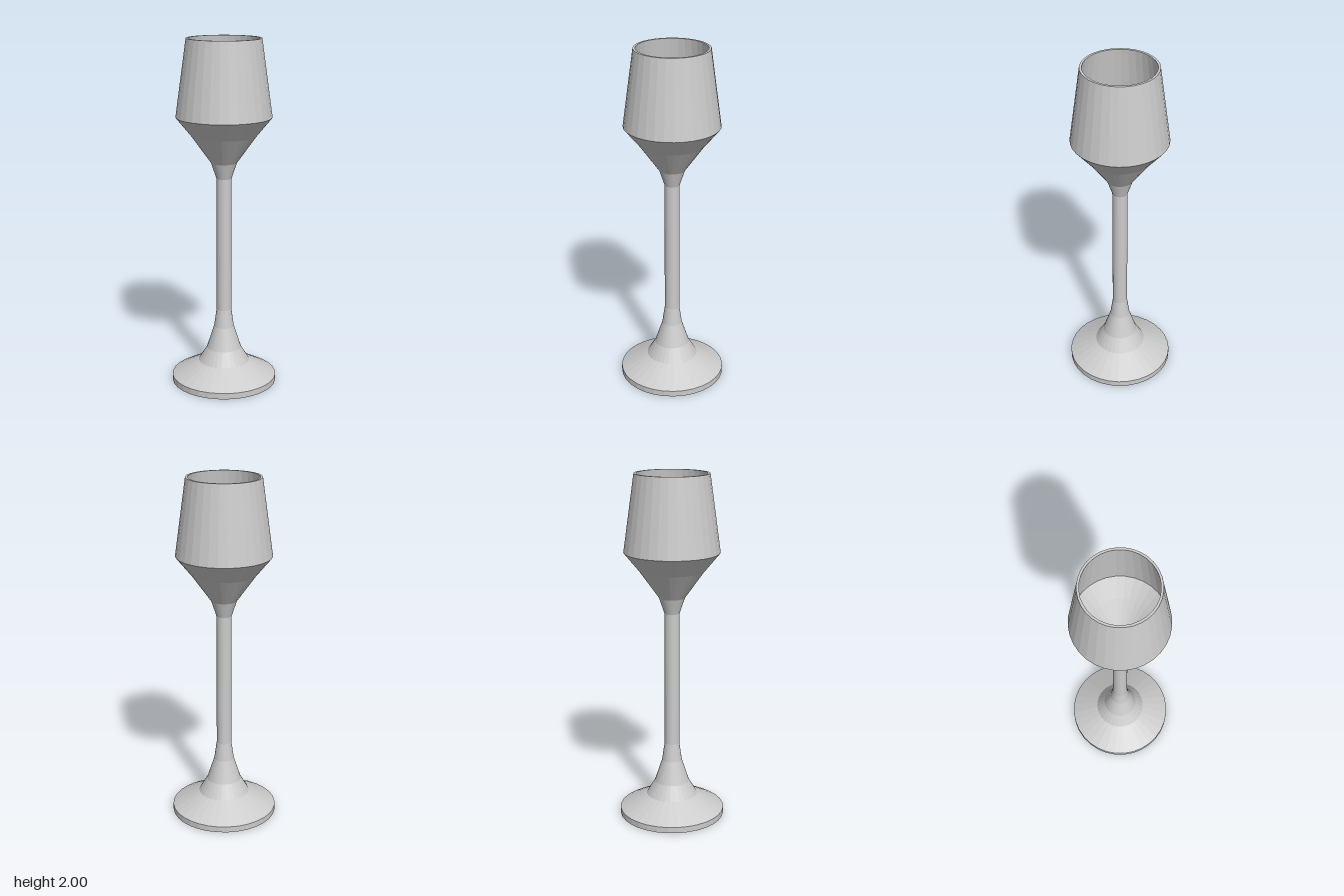
import * as THREE from 'three';

const SEGMENTS = 32;

export function createModel() {
  const group = new THREE.Group();
  group.name = 'goblet';
  const material = new THREE.MeshStandardMaterial({ color: 0xcccccc, flatShading: true });

  // Turned part from [radius, height] pairs, outer side going up
  const turned = (name, profile) => {
    const points = profile.map(([r, y]) => new THREE.Vector2(r, y));
    const mesh = new THREE.Mesh(new THREE.LatheGeometry(points, SEGMENTS), material);
    mesh.name = name;
    group.add(mesh);
  };

  // Disc foot with a flared collar
  turned('foot', [
    [0, 0], [0.305, 0], [0.305, 0.035], [0.148, 0.12],
    [0.1, 0.2], [0.058, 0.33], [0.043, 0.435],
  ]);

  // Slim straight stem
  turned('stem', [[0.043, 0.435], [0.043, 1.215]]);

  // Hollow bowl: outer wall, rim, inner wall and flat inner floor
  turned('bowl', [
    [0.043, 1.215], [0.073, 1.305], [0.184, 1.46], [0.271, 1.565], [0.21, 2],
    [0.197, 2], [0.256, 1.57], [0.172, 1.47], [0.056, 1.315], [0, 1.315],
  ]);

  return group;
}
